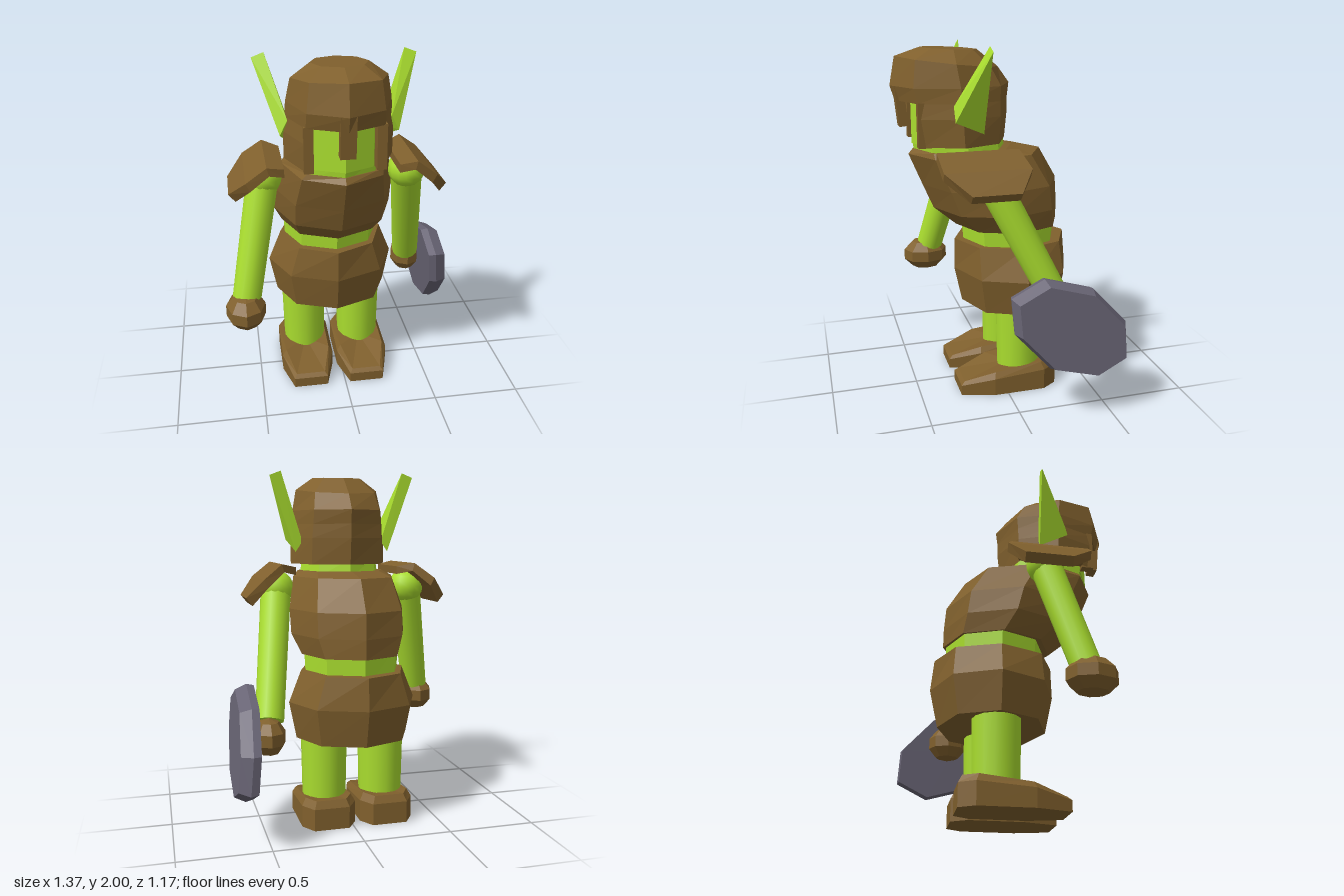
import * as THREE from 'three';
import { ConvexGeometry } from 'three/addons/geometries/ConvexGeometry.js';

const CX = -0.04; // symmetry line of the body
const V = (x, y, z) => new THREE.Vector3(x, y, z);

// Flat-faced skin over matching rings; "skip" leaves out facets for openings
function loft(rings, { caps = true, skip = [] } = {}) {
  const pos = [], n = rings[0].length;
  const tri = (...p) => p.forEach(v => pos.push(v.x, v.y, v.z));
  for (let r = 0; r < rings.length - 1; r++) {
    for (let i = 0; i < n; i++) {
      if (skip.includes(i)) continue;
      const j = (i + 1) % n, A = rings[r], B = rings[r + 1];
      tri(A[i], A[j], B[j]);
      tri(A[i], B[j], B[i]);
    }
  }
  if (caps) {
    const lo = rings[0], hi = rings[rings.length - 1];
    const mid = ring => ring.reduce((s, v) => s.add(v), V(0, 0, 0)).divideScalar(n);
    const ml = mid(lo), mh = mid(hi);
    for (let i = 0; i < n; i++) {
      const j = (i + 1) % n;
      tri(mh, hi[i], hi[j]);
      tri(ml, lo[j], lo[i]);
    }
  }
  const g = new THREE.BufferGeometry();
  g.setAttribute('position', new THREE.Float32BufferAttribute(pos, 3));
  g.computeVertexNormals();
  return g;
}

// Eight-sided ring given half width, front z, back z, front y, back y
function ring([rx, zF, zB, yF, yB = yF]) {
  return Array.from({ length: 8 }, (_, i) => {
    const a = i * Math.PI / 4, c = Math.cos(a);
    return V(CX + rx * Math.sin(a), yB + (yF - yB) * (c + 1) / 2, (zF + zB) / 2 + (zF - zB) / 2 * c);
  });
}
const body = (rows, opts) => loft(rows.map(ring), opts);

export function createModel() {
  const model = new THREE.Group();
  const material = (name, color, side = THREE.FrontSide) => {
    const m = new THREE.MeshStandardMaterial({ color, side });
    m.name = name;
    return m;
  };
  const skin = material('green skin', 0xaade2f);
  const leather = material('brown leather', 0x80602d, THREE.DoubleSide);
  const metal = material('grey metal', 0x696575);
  const add = (name, geometry, mat) => {
    const m = new THREE.Mesh(geometry, mat);
    m.name = name;
    model.add(m);
    return m;
  };
  // Tapered round limb between two points
  const limb = (name, a, b, ra, rb) => {
    const m = add(name, new THREE.CylinderGeometry(rb, ra, a.distanceTo(b), 14), skin);
    m.position.copy(a).add(b).multiplyScalar(0.5);
    m.quaternion.setFromUnitVectors(V(0, 1, 0), b.clone().sub(a).normalize());
    return m;
  };

  // Torso
  add('waist', body([[0.27, 0.18, -0.36, 0.8], [0.28, 0.2, -0.37, 1.02]]), skin);
  add('skirt', body([
    [0.33, 0.2, -0.4, 0.49], [0.372, 0.245, -0.447, 0.7], [0.3, 0.24, -0.43, 0.88],
  ]), leather);
  add('chestArmour', body([
    [0.29, 0.23, -0.385, 0.97], [0.338, 0.36, -0.385, 1.08], [0.34, 0.42, -0.375, 1.22],
    [0.3, 0.495, -0.27, 1.4], [0.26, 0.47, -0.1, 1.43],
  ]), leather);
  add('neck', body([[0.24, 0.46, -0.06, 1.4], [0.23, 0.475, -0.05, 1.5]]), skin);

  // Head and helmet
  add('head', body([[0.22, 0.475, 0.0, 1.46], [0.22, 0.475, 0.0, 1.75]]), skin);
  add('helmetCrown', body([
    [0.28, 0.56, -0.075, 1.7], [0.275, 0.585, -0.085, 1.78],
    [0.25, 0.555, -0.02, 1.935, 1.87], [0.15, 0.42, 0.1, 1.98, 1.965],
  ]), leather);
  add('helmetSides', body([
    [0.29, 0.53, -0.06, 1.47], [0.29, 0.56, -0.075, 1.62], [0.28, 0.56, -0.075, 1.7],
  ], { caps: false, skip: [0, 7] }), leather);
  const nose = add('noseGuard', new THREE.BoxGeometry(0.08, 0.22, 0.05), leather);
  nose.position.set(CX, 1.67, 0.53);
  nose.rotation.x = 0.1;

  // Shoe outline, front to back, and its three levels
  const outline = [[0.1, 0.27], [0.155, 0.08], [0.155, -0.22], [0.1, -0.305],
    [-0.1, -0.305], [-0.155, -0.22], [-0.155, 0.08], [-0.1, 0.27]];
  const topAt = z => Math.min(0.165, 0.165 - (z + 0.02) * 0.3);

  for (const s of [1, -1]) {
    const side = s > 0 ? 'left' : 'right';
    const X = x => CX + s * x;

    // Ears
    add(side + 'Ear', new ConvexGeometry([
      V(X(0.365), 2.0, 0.12), V(X(0.43), 1.975, 0.12), V(X(0.28), 1.54, 0.13),
      V(X(0.24), 1.6, 0.13), V(X(0.31), 1.61, 0.29), V(X(0.27), 1.69, 0.29),
    ]), skin);

    // Cheek rims beside the face opening
    const cheek = add(side + 'CheekGuard', new THREE.BoxGeometry(0.05, 0.24, 0.07), leather);
    cheek.position.set(X(0.185), 1.585, 0.435);

    // Legs and shoes
    limb(side + 'Leg', V(X(0.17), 0.1, -0.1), V(X(0.17), 0.6, -0.1), 0.125, 0.135);
    const level = (k, h) => outline.map(([x, z]) =>
      V(X(0.17) + x * k, h * topAt(z), (z + 0.02) * (1 + k) / 2 - 0.02));
    add(side + 'Shoe', loft([level(1, 0), level(1, 0.75), level(0.85, 1)]), leather);

    // Shoulder ball and curved shoulder plate
    const ball = add(side + 'Shoulder', new THREE.SphereGeometry(0.105, 14, 10), skin);
    ball.position.set(X(0.4), 1.33, 0.13);
    const dz = s > 0 ? 0.01 : -0.015;
    const plate = [[0.3, 1.455, 0.38, 0.02], [0.39, 1.475, 0.4, -0.04],
      [0.5, 1.39, 0.385, -0.08], [0.59, 1.285, 0.26, 0.0]]
      .map(([x, y, f, b], i) => {
        const xi = X(x - 0.012 * i);
        return [V(X(x), y, f + dz), V(xi, y - 0.045, f + dz), V(xi, y - 0.045, b + dz), V(X(x), y, b + dz)];
      });
    if (s < 0) plate.reverse();
    add(side + 'ShoulderPlate', loft(plate), leather);

    // Arms swing in opposite directions
    const wrist = s > 0 ? V(0.465, 0.63, -0.225) : V(-0.57, 0.66, 0.305);
    limb(side + 'Arm', wrist, V(X(0.4), 1.33, 0.13), 0.08, 0.088);
    const fist = add(side + 'Fist', new THREE.SphereGeometry(1, 8, 5).toNonIndexed(), leather);
    fist.geometry.computeVertexNormals();
    if (s > 0) fist.position.set(0.48, 0.56, -0.295);
    else fist.position.set(-0.575, 0.62, 0.325);
    fist.scale.set(s > 0 ? 0.095 : 0.115, 0.105, s > 0 ? 0.115 : 0.145);
  }

  // Long eight-sided shield on the left hand, leaning slightly outward at the foot
  const rim = [[0.145, 0.285], [0.33, 0.195], [0.315, 0], [0.12, -0.215],
    [-0.15, -0.288], [-0.33, -0.2], [-0.32, 0], [-0.13, 0.205]];
  const shieldRing = (x, k) => rim.map(([z, y]) =>
    V(0.61 + x - y * k * 0.09, 0.535 + y * k, -0.252 + z * k));
  add('shield', loft([shieldRing(-0.052, 0.97), shieldRing(-0.01, 1), shieldRing(0.052, 0.91)]), metal);

  return model;
}
